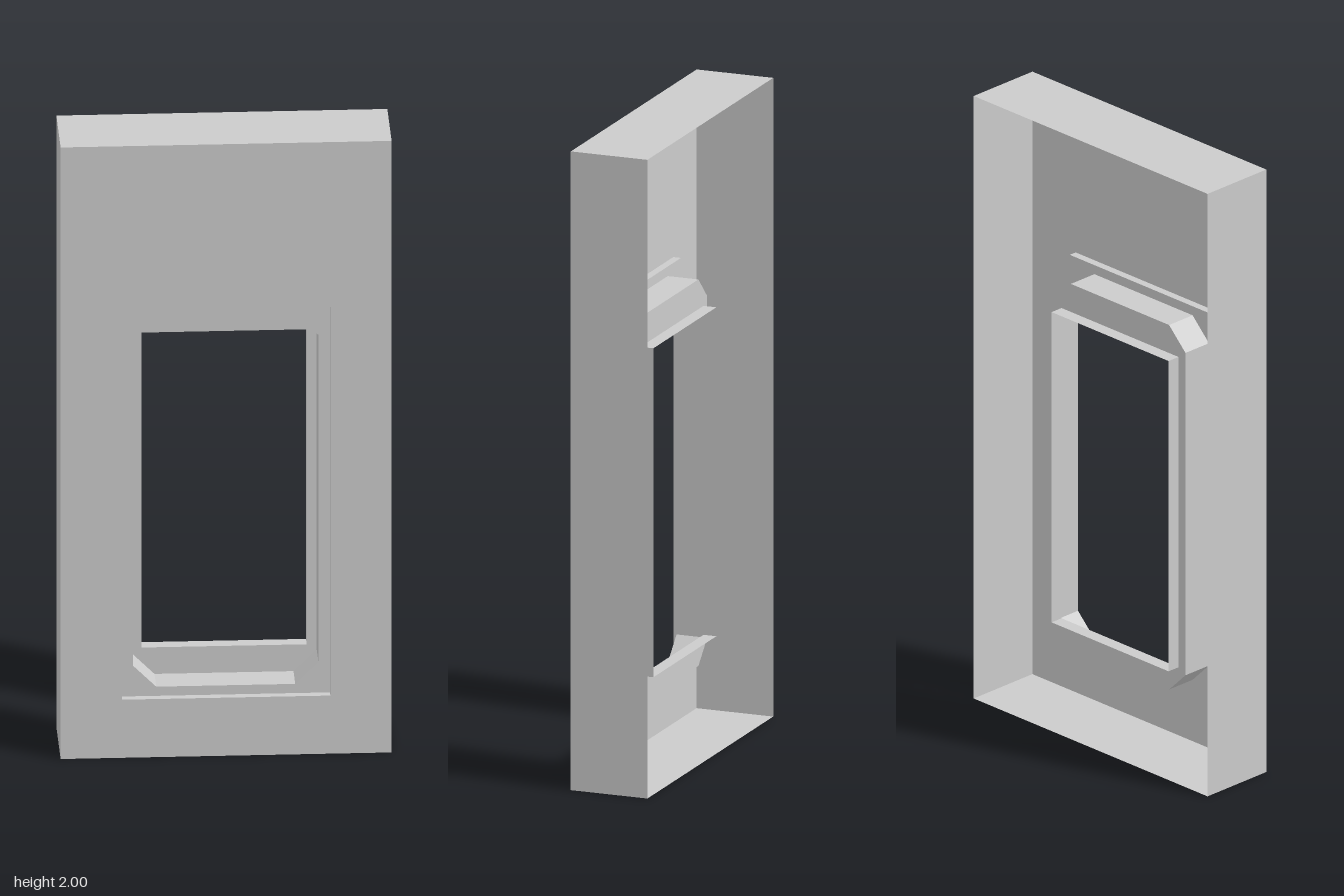
import * as THREE from 'three';

const material = new THREE.MeshStandardMaterial({ color: 0xcccccc, flatShading: true, side: THREE.DoubleSide });

// Counter-clockwise outline of a rectangle, with optional chamfered corners
function outline(halfWidth, bottom, top, chamfer = 0) {
  const w = halfWidth, c = chamfer;
  const points = c
    ? [[-w + c, bottom], [w - c, bottom], [w, bottom + c], [w, top - c],
       [w - c, top], [-w + c, top], [-w, top - c], [-w, bottom + c]]
    : [[-w, bottom], [w, bottom], [w, top], [-w, top]];
  return points.map(([x, y]) => new THREE.Vector2(x, y));
}

// Flat sheet facing forward, with a hole through it
function plate(name, outer, inner, z) {
  const shape = new THREE.Shape(outer);
  shape.holes.push(new THREE.Path(inner));
  const mesh = new THREE.Mesh(new THREE.ShapeGeometry(shape), material);
  mesh.position.z = z;
  mesh.name = name;
  return mesh;
}

// Thin wall following an outline between two depths
function wall(name, points, front, back, outward) {
  const positions = [];
  points.forEach((a, i) => {
    const b = points[(i + 1) % points.length];
    const [p, q] = outward ? [a, b] : [b, a];
    positions.push(
      p.x, p.y, back, q.x, q.y, back, q.x, q.y, front,
      p.x, p.y, back, q.x, q.y, front, p.x, p.y, front);
  });
  const geometry = new THREE.BufferGeometry();
  geometry.setAttribute('position', new THREE.Float32BufferAttribute(positions, 3));
  geometry.computeVertexNormals();
  const mesh = new THREE.Mesh(geometry, material);
  mesh.name = name;
  return mesh;
}

export function createModel() {
  const group = new THREE.Group();
  group.name = 'windowPanel';

  const panel = outline(0.5, 0, 2);
  const recess = outline(0.315, 0.19, 1.46);
  const frame = outline(0.28, 0.22, 1.43, 0.07);
  const opening = outline(0.25, 0.307, 1.337);

  // Depths of the steps, from front to back
  const zFront = 0.125, zRecess = 0.1, zFrame = 0, zOpening = -0.042, zBack = -0.125;

  group.add(
    // Panel: front sheet and outer walls, open at the back
    plate('panelFront', panel, recess, zFront),
    wall('panelSides', panel, zFront, zBack, true),
    // Shallow rectangular recess
    wall('recessSides', recess, zFront, zRecess, false),
    plate('recessFloor', recess, frame, zRecess),
    // Chamfered window frame
    wall('frameSides', frame, zRecess, zFrame, false),
    plate('frameFloor', frame, opening, zFrame),
    // Lip round the window opening
    wall('openingLip', opening, zFrame, zOpening, false),
  );
  return group;
}
